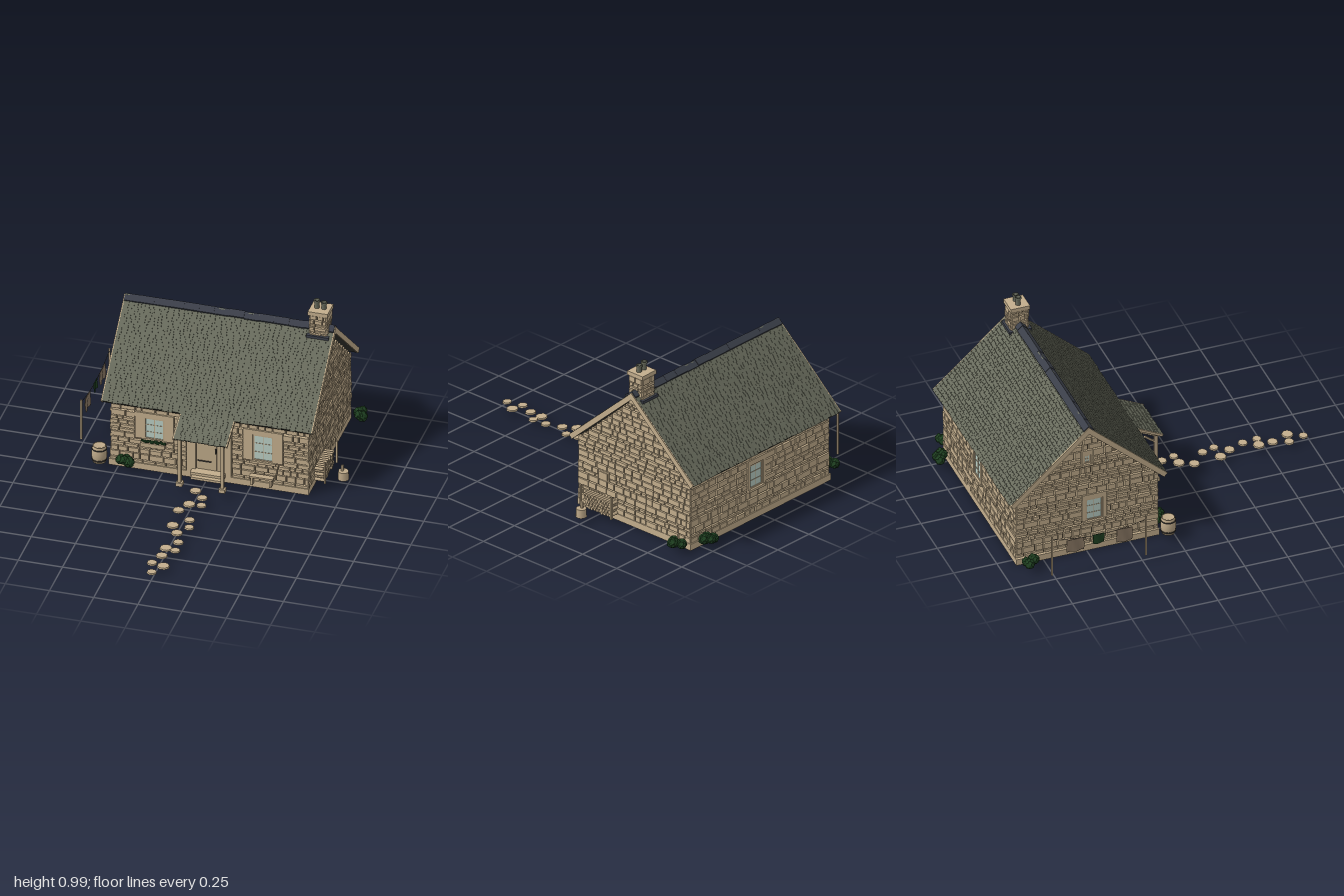
import * as THREE from 'three';
import { mergeGeometries } from 'three/addons/utils/BufferGeometryUtils.js';

const mat = (name, color, side = THREE.FrontSide) => Object.assign(new THREE.MeshStandardMaterial({ color, side }), { name });

export function createModel() {
  const M = {
    stone: mat('sandstone', 0xc3ae8d), mortar: mat('mortar', 0x7c6c55), timber: mat('pale timber', 0xbda888),
    slate: mat('slate', 0x696c5d), under: mat('roof underlay', 0x30312c), lead: mat('lead', 0x3a3e48),
    glass: mat('glass', 0xb9cdc3), leaf: mat('foliage', 0x1e3f20), iron: mat('iron', 0x3a3631),
    cloth: mat('linen', 0x8a7864, THREE.DoubleSide),
  };
  const root = new THREE.Group();
  root.name = 'cottage';
  let seed = 7;
  const rnd = (a = 0, b = 1) => {
    seed = (seed * 16807) % 2147483647;
    return a + (b - a) * seed / 2147483647;
  };
  const mesh = (parent, name, geo, m, x = 0, y = 0, z = 0) => {
    const o = new THREE.Mesh(geo, m);
    o.name = name;
    o.position.set(x, y, z);
    parent.add(o);
    return o;
  };
  const box = (parent, name, m, w, h, d, x, y, z) => mesh(parent, name, new THREE.BoxGeometry(w, h, d), m, x, y, z);
  const group = (name, x = 0, y = 0, z = 0, ry = 0, parent = root) => {
    const g = new THREE.Group();
    g.name = name;
    g.position.set(x, y, z);
    g.rotation.y = ry;
    parent.add(g);
    return g;
  };

  // One masonry block: a box whose outer face is slightly smaller
  const block = (u0, u1, v0, v1, depth) => {
    const g = new THREE.BoxGeometry(u1 - u0 - 0.003, v1 - v0 - 0.003, depth), p = g.attributes.position;
    for (let i = 0; i < p.count; i++) if (p.getZ(i) > 0) {
      p.setX(i, p.getX(i) - Math.sign(p.getX(i)) * 0.002);
      p.setY(i, p.getY(i) - Math.sign(p.getY(i)) * 0.002);
    }
    g.computeVertexNormals();
    return g.translate((u0 + u1) / 2, (v0 + v1) / 2, depth / 2);
  };
  // Courses of random blocks, leaving rectangular openings [u0, u1, v0, v1] free
  const masonry = (parent, name, halfAt, bottom, top, openings = [], scale = 1) => {
    const parts = [], breaks = [...openings.flatMap(o => [o[2], o[3]]), top].sort((a, b) => a - b);
    for (let v = bottom, v1; v < top - 1e-4; v = v1) {
      v1 = v + rnd(0.02, 0.042) * scale;
      const next = breaks.find(b => b > v + 1e-4);
      if (v1 > next - 0.01) v1 = next;
      const half = halfAt(v1);
      let spans = [[-half, half]];
      for (const [a, b, c, d] of openings) if (v < d - 1e-4 && v1 > c + 1e-4)
        spans = spans.flatMap(([s, e]) => (b <= s || a >= e ? [[s, e]] : [[s, a], [b, e]].filter(q => q[1] - q[0] > 0.008)));
      for (const [s, e] of spans) for (let u = s, u1; u < e - 1e-4; u = u1) {
        u1 = u + rnd(0.03, 0.085) * scale;
        if (u1 > e - 0.02 * scale) u1 = e;
        parts.push(block(u, u1, v, v1, rnd(0.009, 0.014)));
      }
    }
    mesh(parent, name, mergeGeometries(parts), M.stone);
  };

  // House core and plinth
  const CX = 0.015, CZ = -0.4925, HX = 0.55, HZ = 0.4025, EAVE = 0.415, PEAK = 0.79;
  const gable = new THREE.Shape([[-HZ, 0.03], [HZ, 0.03], [HZ, EAVE], [0, PEAK], [-HZ, EAVE]].map(p => new THREE.Vector2(...p)));
  const coreGeo = new THREE.ExtrudeGeometry(gable, { depth: 2 * HX, bevelEnabled: false }).translate(0, 0, -HX).rotateY(Math.PI / 2);
  mesh(root, 'wallCore', coreGeo, M.mortar, CX, 0, CZ);
  box(root, 'plinth', M.stone, 1.132, 0.038, 0.83, 0.01, 0.019, CZ);

  // Windows in wall coordinates: jamb stones, lintel, sill, glass and glazing bars
  const makeWindow = (wall, u, v, w, h, jamb, rows = 3) => {
    const g = group('window', u, v, 0, 0, wall);
    box(g, 'glass', M.glass, w, h, 0.006, 0, h / 2, 0.003);
    for (const s of [-1, 1]) {
      box(g, 'jamb', M.stone, jamb, h, 0.014, s * (w + jamb) / 2, h / 2, 0.007);
      box(g, 'frameSide', M.timber, 0.008, h, 0.01, s * (w / 2 - 0.004), h / 2, 0.005);
    }
    for (const y of [0.004, h - 0.004]) box(g, 'frameRail', M.timber, w, 0.008, 0.01, 0, y, 0.005);
    box(g, 'mullion', M.timber, 0.004, h, 0.008, 0, h / 2, 0.004);
    for (let i = 1; i < rows; i++) box(g, 'glazingBar', M.timber, w, 0.003, 0.008, 0, h * i / rows, 0.004);
    box(g, 'lintel', M.stone, w + 2 * jamb, 0.03, 0.015, 0, h + 0.0155, 0.0075);
    box(g, 'sill', M.stone, w + 0.03, 0.014, 0.022, 0, -0.007, 0.011);
    return [u - w / 2 - jamb, u + w / 2 + jamb, v - 0.014, v + h + 0.031];
  };
  const flat = half => () => half;
  const gableHalf = half => v => (v <= EAVE ? half : Math.max(0.012, half * (PEAK - v) / (PEAK - EAVE)));

  const front = group('frontWall', CX, 0, CZ + HZ);
  const w1 = makeWindow(front, -0.3125, 0.2, 0.115, 0.135, 0.052), w2 = makeWindow(front, 0.3025, 0.17, 0.115, 0.165, 0.054);
  masonry(front, 'frontStones', flat(HX + 0.01), 0.038, 0.42, [w1, w2, [-0.13, 0.125, 0.038, 0.36]]);
  const right = group('rightWall', CX + HX, 0, CZ, Math.PI / 2);
  masonry(right, 'rightStones', gableHalf(HZ + 0.01), 0.038, 0.775, [[-0.263, -0.182, 0.208, 0.267]]);
  box(right, 'hatchFrame', M.stone, 0.079, 0.057, 0.012, -0.2225, 0.2375, 0.006);
  box(right, 'hatch', M.timber, 0.06, 0.04, 0.006, -0.2225, 0.2375, 0.014);
  const back = group('backWall', CX, 0, CZ - HZ, Math.PI);
  masonry(back, 'backStones', flat(HX + 0.01), 0.038, 0.42, [makeWindow(back, -0.03, 0.19, 0.105, 0.145, 0.02)]);
  const left = group('leftWall', CX - HX, 0, CZ, -Math.PI / 2);
  masonry(left, 'leftStones', gableHalf(HZ + 0.01), 0.038, 0.775,
    [makeWindow(left, 0.04, 0.19, 0.1, 0.14, 0.02), makeWindow(left, 0, 0.57, 0.04, 0.055, 0.012, 2)]);

  // Door with frame, hinges, latch and step
  const door = group('door', 0.0125, 0, CZ + HZ);
  for (const s of [-1, 1]) box(door, 'doorJamb', M.stone, 0.05, 0.3, 0.016, s * 0.1, 0.188, 0.008);
  box(door, 'doorLintel', M.stone, 0.255, 0.026, 0.018, 0, 0.347, 0.009);
  for (let i = 0; i < 5; i++) box(door, 'doorPlank', M.timber, 0.0285, 0.27, 0.01, (i - 2) * 0.029, 0.198, 0.007);
  for (const y of [0.115, 0.285]) box(door, 'hinge', M.iron, 0.08, 0.007, 0.004, -0.025, y, 0.014);
  box(door, 'latch', M.iron, 0.007, 0.03, 0.01, 0.04, 0.19, 0.015);
  box(door, 'step', M.stone, 0.19, 0.022, 0.05, 0, 0.048, 0.03);
  box(door, 'lowerStep', M.stone, 0.17, 0.014, 0.04, 0, 0.037, 0.06);

  // Slated slope: local +z runs downhill and y = 0 is the upper surface
  const slope = (name, x, y, z, ry, angle, width, len, rows, verge) => {
    const g = group(name, x, y, z, ry);
    g.rotation.set(angle, ry, 0, 'YXZ');
    box(g, 'underlay', M.under, width, verge - 0.008, len - 0.004, 0, -0.004 - verge / 2, len / 2);
    const parts = [], step = len / rows;
    for (let r = 0; r < rows; r++) for (let u = -width / 2, u1; u < width / 2 - 1e-4; u = u1) {
      u1 = u + rnd(0.018, 0.04);
      if (u1 > width / 2 - 0.012) u1 = width / 2;
      const s = new THREE.BoxGeometry(u1 - u - 0.0012, 0.005, step * 1.25).rotateX(0.09 + rnd(0, 0.09));
      parts.push(s.translate((u + u1) / 2, -0.004, step * (r + 0.45) + rnd(-0.003, 0.003)));
    }
    mesh(g, 'slates', mergeGeometries(parts), M.slate);
    for (const s of [-1, 1]) box(g, 'verge', M.stone, 0.008, verge, len, s * (width / 2 + 0.002), -0.002 - verge / 2, len / 2);
  };
  const A = Math.atan2(0.41, 0.457), L = Math.hypot(0.41, 0.457);
  for (const ry of [0, Math.PI]) slope(ry ? 'backRoof' : 'frontRoof', 0.0085, 0.834, -0.4975, ry, A, 1.185, L, 27, 0.03);
  slope('porchRoof', 0.0125, 0.425, -0.05, 0, 0.46, 0.298, 0.172, 7, 0.014);

  // Ridge tiles
  const chevron = new THREE.Shape([[0, 0.012], [0.03, -0.015], [0.026, -0.024], [0, 0], [-0.026, -0.024], [-0.03, -0.015]].map(p => new THREE.Vector2(...p)));
  for (let i = 0; i < 14; i++) {
    const geo = new THREE.ExtrudeGeometry(chevron, { depth: 0.0845, bevelEnabled: false }).rotateY(Math.PI / 2);
    mesh(root, 'ridgeTile', geo, M.lead, -0.584 + i * 0.0847, 0.831 + rnd(-0.003, 0.002), -0.4975);
  }

  // Chimney
  const chimney = group('chimney', 0.52, 0, -0.497);
  box(chimney, 'chimneyCore', M.mortar, 0.084, 0.2, 0.084, 0, 0.83, 0);
  for (let i = 0; i < 4; i++) {
    const a = i * Math.PI / 2;
    masonry(group('chimneySide', Math.sin(a) * 0.041, 0, Math.cos(a) * 0.041, a, chimney), 'chimneyStones', flat(0.048), 0.74, 0.915, [], 0.8);
  }
  box(chimney, 'chimneyCap', M.stone, 0.112, 0.024, 0.112, 0, 0.927, 0);
  box(chimney, 'flashing', M.lead, 0.126, 0.016, 0.13, 0, 0.785, 0);
  const potProfile = [[0.014, 0], [0.014, 0.036], [0.018, 0.04], [0.018, 0.05], [0.011, 0.05], [0.011, 0.03], [0, 0.03]].map(p => new THREE.Vector2(...p));
  for (const [x, h] of [[-0.02, 1], [0.02, 0.85]]) mesh(chimney, 'chimneyPot', new THREE.LatheGeometry(potProfile, 14), M.slate, x, 0.937, 0).scale.y = h;

  // Porch posts, braces and beam
  for (const x of [-0.11, 0.132]) {
    box(root, 'porchPost', M.timber, 0.018, 0.3, 0.018, x, 0.195, 0.07);
    box(root, 'postBase', M.stone, 0.036, 0.022, 0.036, x, 0.045, 0.07);
    box(root, 'porchBrace', M.timber, 0.012, 0.08, 0.01, x, 0.312, 0.038).rotation.x = -0.9;
    box(root, 'porchRafter', M.timber, 0.014, 0.014, 0.16, x, 0.368, 0).rotation.x = 0.46;
  }
  box(root, 'porchBeam', M.timber, 0.28, 0.016, 0.018, 0.012, 0.345, 0.07);

  // Bushes from faceted blobs
  const blob = r => {
    const g = new THREE.IcosahedronGeometry(r, 2), p = g.attributes.position, v = new THREE.Vector3();
    for (let i = 0; i < p.count; i++) {
      v.fromBufferAttribute(p, i);
      const n = Math.sin(v.x / r * 7.1 + 1) * Math.sin(v.y / r * 6.3) * Math.sin(v.z / r * 5.7 + 2);
      v.multiplyScalar(1 + 0.2 * n);
      p.setXYZ(i, v.x, v.y, v.z);
    }
    g.computeVertexNormals();
    return g;
  };
  for (const [x, z, sx, sz] of [[-0.455, -0.05, 1, 0.5], [-0.622, -0.845, 0.6, 0.8], [0.638, -0.865, 0.6, 1], [0.482, -0.955, 1, 0.6]])
    for (const [dx, dy, dz, r] of [[-0.026, 0.055, -0.02, 0.028], [0.026, 0.058, 0.02, 0.03], [0, 0.067, 0.025, 0.025], [0.004, 0.06, -0.035, 0.025]])
      mesh(root, 'bush', blob(r), M.leaf, x + dx * sx, dy, z + dz * sz);

  // Flower box and bench under the front windows
  box(root, 'flowerBox', M.timber, 0.14, 0.026, 0.03, -0.298, 0.182, -0.055);
  for (let i = 0; i < 12; i++) mesh(root, 'plant', blob(rnd(0.007, 0.011)), M.leaf, -0.36 + i * 0.0115, 0.199, -0.055 + rnd(-0.007, 0.007));
  box(root, 'benchSeat', M.timber, 0.135, 0.01, 0.035, 0.318, 0.088, -0.05);
  for (const x of [0.265, 0.37]) box(root, 'benchLeg', M.timber, 0.012, 0.048, 0.03, x, 0.06, -0.05);

  // Rain barrel
  const barrel = [[0, 0], [0.036, 0], [0.042, 0.03], [0.043, 0.05], [0.042, 0.07], [0.037, 0.1], [0.032, 0.1], [0.032, 0.094], [0, 0.094]].map(p => new THREE.Vector2(...p));
  mesh(root, 'barrel', new THREE.LatheGeometry(barrel, 20), M.timber, -0.597, 0.036, -0.042);
  for (const y of [0.055, 0.118]) mesh(root, 'barrelHoop', new THREE.CylinderGeometry(0.0425, 0.0425, 0.007, 20), M.iron, -0.597, y, -0.042);

  // Log pile, its end posts, chopping block and axe
  for (let r = 0; r < 5; r++) for (let i = 0; i < 11 - r % 2; i++) {
    const len = rnd(0.05, 0.062), geo = new THREE.CylinderGeometry(0.0092, 0.0092, len, 7).rotateZ(Math.PI / 2);
    mesh(root, 'log', geo, M.timber, 0.58 + len / 2, 0.047 + r * 0.0172, -0.18 - i * 0.0188 - (r % 2) * 0.0094);
  }
  for (const z of [-0.162, -0.388]) box(root, 'logRackPost', M.timber, 0.01, 0.137, 0.01, 0.644, 0.105, z);
  mesh(root, 'choppingBlock', new THREE.CylinderGeometry(0.029, 0.031, 0.05, 12), M.timber, 0.725, 0.061, -0.24);
  box(root, 'axeHandle', M.timber, 0.012, 0.036, 0.012, 0.719, 0.104, -0.24);

  // Washing line
  for (const z of [-0.23, -0.775]) mesh(root, 'linePost', new THREE.CylinderGeometry(0.006, 0.006, 0.25, 8), M.timber, -0.755, 0.16, z);
  const line = new THREE.QuadraticBezierCurve3(...[[0.272, -0.23], [0.2, -0.5], [0.272, -0.775]].map(([y, z]) => new THREE.Vector3(-0.755, y, z)));
  mesh(root, 'washingLine', new THREE.TubeGeometry(line, 12, 0.0015, 5), M.iron);
  for (const [z, w, h, m] of [[-0.355, 0.09, 0.085, M.cloth], [-0.505, 0.065, 0.06, M.leaf], [-0.64, 0.1, 0.08, M.cloth]]) {
    const g = new THREE.BoxGeometry(0.003, h, w, 1, 6, 6), p = g.attributes.position;
    for (let i = 0; i < p.count; i++) p.setX(i, p.getX(i) + 0.006 * Math.sin(p.getZ(i) * 90 + p.getY(i) * 40) * (0.5 - p.getY(i) / h));
    g.computeVertexNormals();
    mesh(root, 'laundry', g, m, -0.755, 0.242 - h / 2, z);
  }

  // Stepping-stone path
  const path = [[-0.01, 0.105], [0.045, 0.165], [-0.005, 0.245], [0.063, 0.24], [-0.043, 0.32], [0.043, 0.4], [-0.03, 0.477], [0.062, 0.473],
    [0.014, 0.545], [0.048, 0.635], [0, 0.71], [0.056, 0.72], [0, 0.79], [-0.03, 0.875], [0.038, 0.89], [-0.005, 0.967]];
  path.forEach(([x, z], i) => {
    const r = [0.033, 0.03, 0.036, 0.028][i % 4], geo = new THREE.CylinderGeometry(r * 0.93, r, 0.009, 8).rotateY(Math.PI / 8 + rnd(-0.15, 0.15));
    mesh(root, 'steppingStone', geo, M.stone, x, 0.036, z).scale.z = 0.92;
  });
  return root;
}
